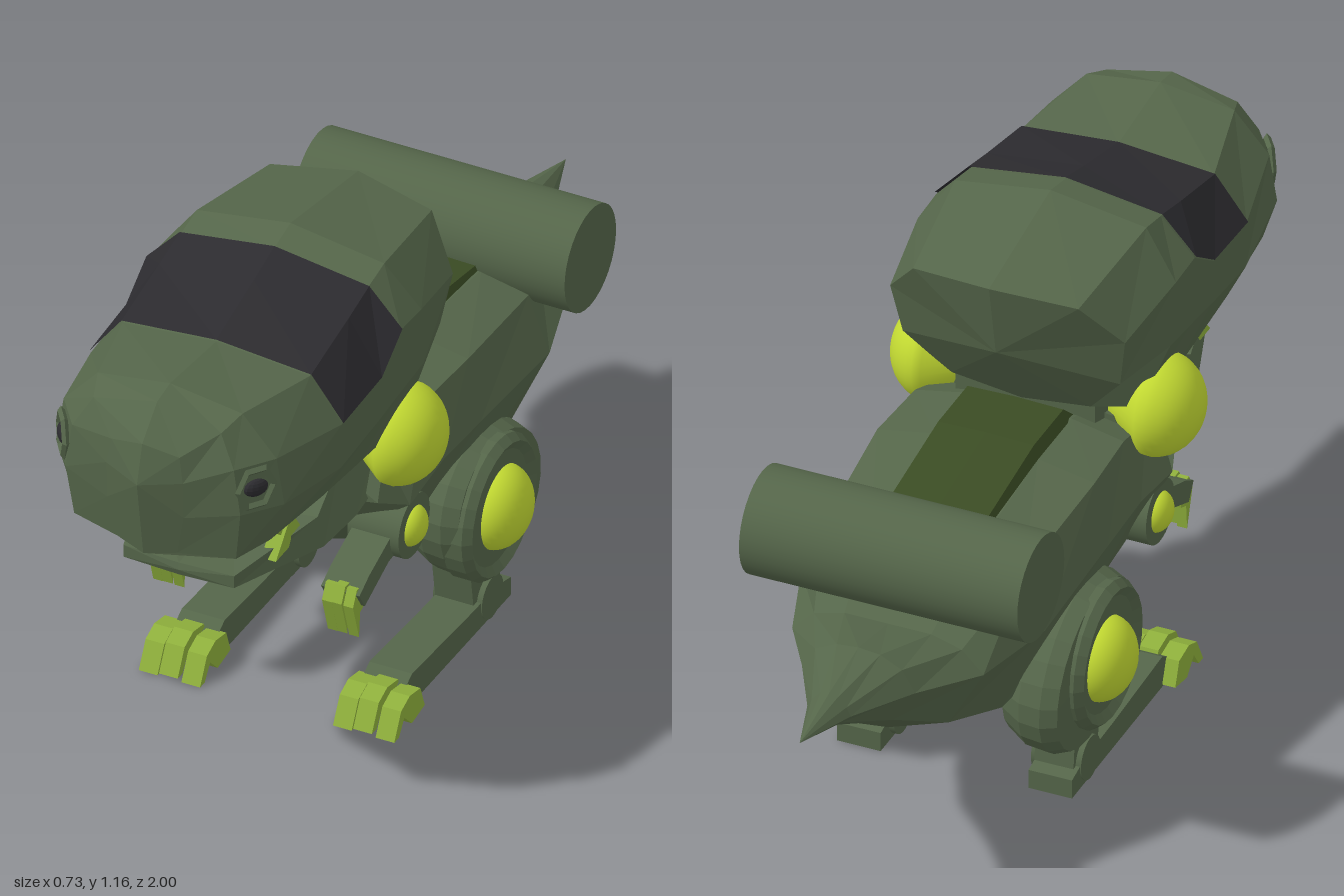
import * as THREE from 'three';

const flat = (color) => new THREE.MeshStandardMaterial({ color, flatShading: true, side: THREE.DoubleSide });
const smooth = (color) => new THREE.MeshStandardMaterial({ color });

export function createModel() {
  const root = new THREE.Group();
  const hide = flat(0x55664a), hideSmooth = smooth(0x55664a), lime = smooth(0xc3da32);
  const claw = flat(0x8fb03c), dark = flat(0x2c2b2f), olive = flat(0x3b4c24);

  const add = (parent, name, geo, mat, x = 0, y = 0, z = 0) => {
    const m = new THREE.Mesh(geo, mat);
    m.name = name;
    m.position.set(x, y, z);
    parent.add(m);
    return m;
  };

  // Skin over rings of equal length, ordered back to front, each clockwise from the front
  const skin = (rings, closed = true) => {
    const n = rings[0].length, idx = [];
    for (let k = 0; k < rings.length - 1; k++) {
      for (let i = 0; i < (closed ? n : n - 1); i++) {
        const j = (i + 1) % n;
        const a = k * n + i, b = k * n + j, c = b + n, d = a + n;
        idx.push(a, d, c, a, c, b);
      }
    }
    const g = new THREE.BufferGeometry();
    g.setAttribute('position', new THREE.Float32BufferAttribute(rings.flat(2), 3));
    g.setIndex(idx);
    const out = g.toNonIndexed();
    out.computeVertexNormals();
    return out;
  };
  const flip = ([x, y, z]) => [-x, y, z];
  const mirrored = (half) => [...half, ...half.slice(1, -1).reverse().map(flip)];
  const overTop = (half) => [...half.slice(1).reverse().map(flip), ...half];
  const point = (n, x, y, z) => Array.from({ length: n }, () => [x, y, z]);
  const atZ = (z, pts) => pts.map(([x, y]) => [x, y, z]);

  // Side outline of [z, y] points, thickened across x
  const plate = (pts, width) => {
    const s = new THREE.Shape(pts.map(([z, y]) => new THREE.Vector2(z, y)));
    const g = new THREE.ExtrudeGeometry(s, { depth: width, bevelEnabled: false });
    return g.translate(0, 0, -width / 2).rotateY(-Math.PI / 2);
  };
  // Round shapes with their axis along x: turned profile of [radius, x], and plain rod
  const disc = (pts, seg = 24) =>
    new THREE.LatheGeometry(pts.map(([r, x]) => new THREE.Vector2(r, x)), seg).rotateZ(-Math.PI / 2);
  const rod = (r, length) => new THREE.CylinderGeometry(r, r, length, 32).rotateZ(Math.PI / 2);

  // Body and tail
  const bodyHalves = [
    point(6, 0, 0.54, -1),
    atZ(-0.85, [[0, 0.575], [0.02, 0.57], [0.04, 0.55], [0.05, 0.53], [0.03, 0.51], [0, 0.495]]),
    atZ(-0.7, [[0, 0.6], [0.05, 0.595], [0.1, 0.57], [0.13, 0.52], [0.08, 0.44], [0, 0.41]]),
    atZ(-0.55, [[0, 0.57], [0.1, 0.57], [0.17, 0.55], [0.22, 0.5], [0.14, 0.36], [0, 0.31]]),
    atZ(-0.37, [[0, 0.68], [0.12, 0.68], [0.23, 0.65], [0.28, 0.52], [0.18, 0.3], [0, 0.24]]),
    atZ(-0.05, [[0, 0.715], [0.12, 0.715], [0.25, 0.69], [0.28, 0.54], [0.18, 0.26], [0, 0.185]]),
    atZ(0.12, [[0, 0.72], [0.12, 0.715], [0.24, 0.69], [0.28, 0.55], [0.18, 0.32], [0, 0.26]]),
    atZ(0.28, [[0, 0.66], [0.12, 0.66], [0.22, 0.64], [0.28, 0.53], [0.17, 0.45], [0, 0.4]]),
    atZ(0.37, [[0, 0.62], [0.1, 0.62], [0.2, 0.61], [0.25, 0.58], [0.13, 0.56], [0, 0.55]]),
    point(6, 0, 0.59, 0.37),
  ];
  add(root, 'bodyAndTail', skin(bodyHalves.map(mirrored)), hide);
  // Raised panel along the back
  const panel = [[-0.4, 0.69], [-0.05, 0.75], [0.1, 0.75], [0.16, 0.7]].map(([z, y]) =>
    overTop(atZ(z, [[0, y], [0.11, y - 0.003], [0.125, y - 0.05]])));
  add(root, 'backPanel', skin(panel, false), olive);
  add(root, 'neck', new THREE.BoxGeometry(0.32, 0.14, 0.2), hide, 0, 0.68, 0.25);
  add(root, 'backCanister', rod(0.12, 0.64), hideSmooth, 0, 0.705, -0.48);

  // Head
  const headHalves = [
    point(6, 0, 0.92, 0),
    [[0, 1.1, -0.035], [0.19, 1.08, 0], [0.27, 0.98, 0.06], [0.25, 0.86, 0.08], [0.16, 0.75, 0.13], [0, 0.73, 0.13]],
    [[0, 1.16, 0.28], [0.22, 1.125, 0.28], [0.297, 1.02, 0.26], [0.292, 0.87, 0.24], [0.24, 0.73, 0.2], [0, 0.7, 0.2]],
    atZ(0.355, [[0, 1.143], [0.22, 1.11], [0.297, 1.025], [0.292, 0.86], [0.25, 0.725], [0, 0.71]]),
    atZ(0.45, [[0, 1.115], [0.22, 1.087], [0.297, 0.96], [0.292, 0.85], [0.25, 0.735], [0, 0.73]]),
    atZ(0.625, [[0, 1.07], [0.22, 1.05], [0.295, 0.95], [0.293, 0.84], [0.25, 0.755], [0, 0.76]]),
    atZ(0.84, [[0, 1.095], [0.17, 1.07], [0.25, 0.98], [0.268, 0.87], [0.235, 0.77], [0, 0.78]]),
    [[0, 1.085, 0.9], [0.15, 1.05, 0.9], [0.19, 0.98, 0.92], [0.205, 0.87, 0.92], [0.19, 0.75, 0.91], [0, 0.75, 0.94]],
    [[0, 1.02, 0.97], [0.08, 1, 0.955], [0.09, 0.94, 0.96], [0.09, 0.85, 0.955], [0.07, 0.75, 0.945], [0, 0.74, 0.965]],
    point(6, 0, 0.93, 0.995),
  ];
  add(root, 'head', skin(headHalves.map(mirrored)), hide);
  const visor = headHalves.slice(3, 6).map((h) => overTop(h.slice(0, 3)).map(([x, y, z]) => [x * 1.012, y + 0.004, z]));
  add(root, 'visor', skin(visor, false), dark);

  // Lower jaw
  const jaw = [
    point(4, 0, 0.64, 0.2),
    atZ(0.2, [[0, 0.71], [0.18, 0.69], [0.22, 0.6], [0, 0.58]]),
    atZ(0.43, [[0, 0.66], [0.19, 0.7], [0.23, 0.58], [0, 0.57]]),
    atZ(0.55, [[0, 0.61], [0.2, 0.64], [0.215, 0.57], [0, 0.56]]),
    atZ(0.8, [[0, 0.615], [0.13, 0.62], [0.13, 0.59], [0, 0.585]]),
    point(4, 0, 0.6, 0.805),
  ];
  add(root, 'lowerJaw', skin(jaw.map(mirrored)), hide);

  // Everything paired is built on the left, then mirrored
  const side = new THREE.Group();
  side.name = 'leftSide';

  const dome = (name, r, depth, x, y, z) => {
    add(side, name, new THREE.SphereGeometry(r, 32, 20), lime, x, y, z).scale.x = depth / r;
  };

  // Eye and its frame
  const eye = new THREE.Group();
  eye.name = 'eye';
  eye.position.set(0.227, 0.93, 0.89);
  eye.rotation.y = 0.95;
  add(eye, 'pupil', new THREE.SphereGeometry(0.024, 12, 8), dark).scale.set(1.2, 0.85, 0.5);
  add(eye, 'eyeFrame', new THREE.TorusGeometry(0.042, 0.008, 4, 6), hide).scale.y = 1.2;
  side.add(eye);

  // Teeth
  for (const z of [0.73, 0.51]) {
    add(side, 'upperTooth', plate([[z + 0.06, 0.78], [z - 0.06, 0.78], [z, 0.705]], 0.05), claw, 0.18);
  }
  add(side, 'lowerTooth', plate([[0.7, 0.61], [0.57, 0.61], [0.625, 0.69]], 0.035), claw, 0.16);

  // Neck joint: half ball outside, cone inside
  const ball = [[0, 0.14], [0.04, 0.14], [0.113, 0.245]];
  for (let i = 1; i <= 10; i++) {
    const t = (i / 10) * Math.PI / 2;
    ball.push([0.115 * Math.cos(t), 0.25 + 0.103 * Math.sin(t)]);
  }
  add(side, 'neckJoint', disc(ball, 32), lime, 0, 0.7, 0.27);

  // Arm
  add(side, 'shoulder', rod(0.073, 0.12), hideSmooth, 0.21, 0.45, 0.24);
  dome('shoulderCap', 0.047, 0.035, 0.262, 0.45, 0.24);
  add(side, 'forearm', plate([[0.22, 0.49], [0.3, 0.46], [0.41, 0.42], [0.455, 0.395], [0.43, 0.355], [0.32, 0.4], [0.22, 0.41]], 0.09), hide, 0.205);
  for (const i of [-1, 0, 1]) {
    const finger = plate([[0.4, 0.4], [0.45, 0.405], [0.468, 0.37], [0.44, 0.28], [0.435, 0.34], [0.41, 0.35]], 0.023);
    add(side, 'finger', finger, claw, 0.205 + i * 0.025, i ? 0 : 0.004, i ? 0 : 0.004);
  }

  // Leg: tilted oval thigh with a round hip plate
  const thigh = add(side, 'thigh', disc([[0, 0.13], [0.12, 0.13], [0.18, 0.15], [0.21, 0.2], [0.215, 0.25], [0.2, 0.285], [0, 0.29]]), hide, 0, 0.293, -0.127);
  thigh.scale.y = 0.8;
  thigh.rotation.x = -0.45;
  add(side, 'hipPlate', disc([[0.165, 0.25], [0.165, 0.295], [0.15, 0.313], [0.13, 0.3], [0, 0.3]]), hide, 0, 0.3, -0.095);
  dome('hipCap', 0.095, 0.072, 0.293, 0.297, -0.105);
  add(side, 'shin', plate([[-0.04, 0.16], [-0.065, 0], [-0.185, 0], [-0.17, 0.16]], 0.09), hide, 0.215);
  add(side, 'ankle', rod(0.05, 0.115), hideSmooth, 0.215, 0.05, -0.12);
  add(side, 'foot', plate([[-0.21, 0], [-0.21, 0.045], [-0.15, 0.06], [0, 0.065], [0.25, 0.08], [0.285, 0.06], [0.27, 0.005]], 0.1), hide, 0.22);
  for (const i of [-1, 0, 1]) {
    const toe = plate([[0.25, 0.01], [0.27, 0.065], [0.32, 0.075], [0.36, 0.06], [0.392, 0], [0.37, 0], [0.345, 0.035], [0.31, 0]], 0.044);
    add(side, 'toe', toe, claw, 0.228 + i * 0.05, i ? 0 : 0.01, i ? 0 : 0.005);
  }

  const other = side.clone();
  other.name = 'rightSide';
  other.scale.x = -1;
  root.add(side, other);
  return root;
}
